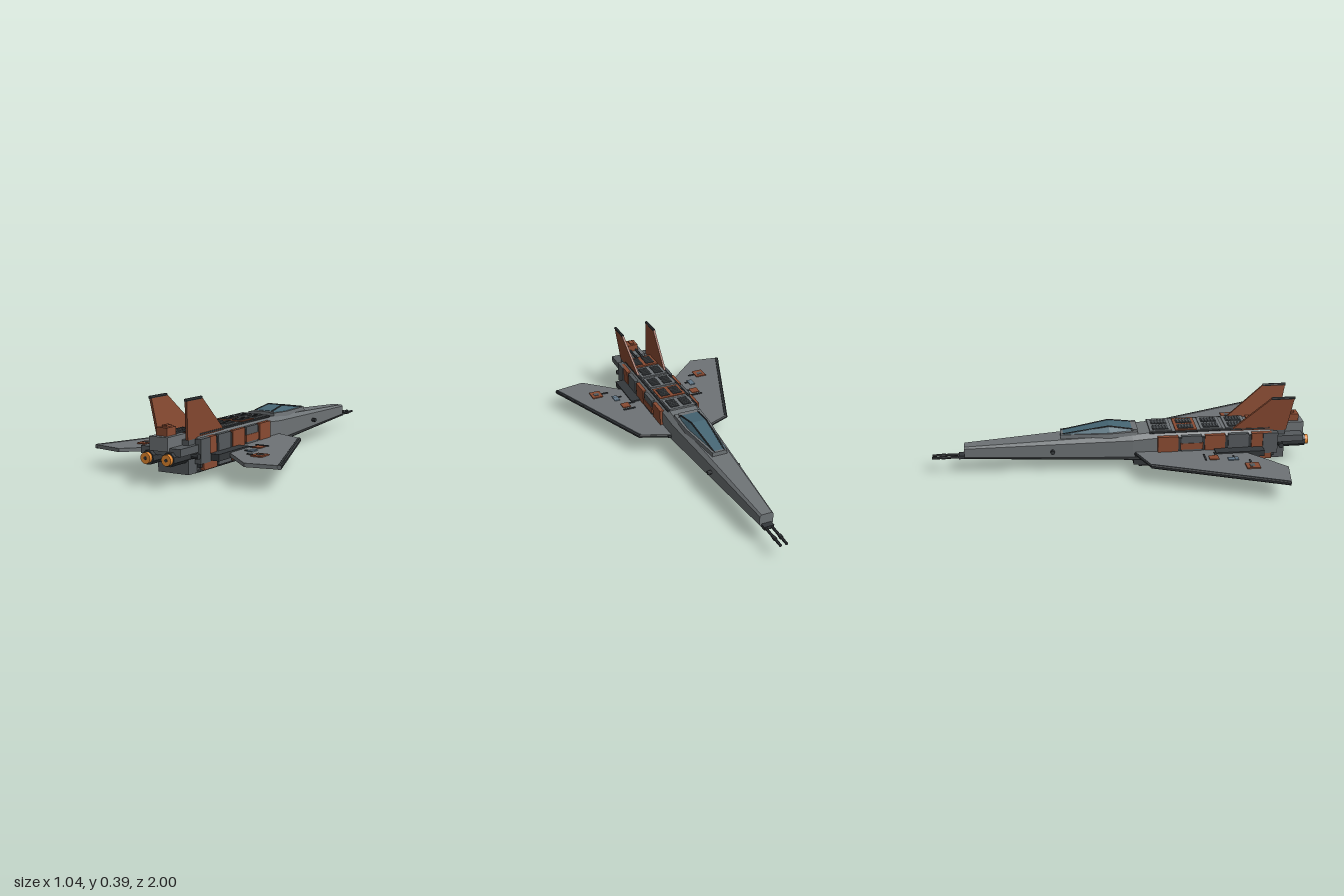
import * as THREE from 'three';

const mat = (color, side = THREE.FrontSide) => new THREE.MeshStandardMaterial({ color, flatShading: true, side });
const GREY = mat(0x6e7376), MID = mat(0x555a5d), DARK = mat(0x34383b), RUST = mat(0x8a4b32),
  GLASS = mat(0x466674), GLOW = mat(0xe88a30), BLUE = mat(0x62788a);

export function createModel() {
  const model = new THREE.Group();
  const add = (name, geo, m, parent = model) => {
    const mesh = new THREE.Mesh(geo, m);
    mesh.name = name;
    parent.add(mesh);
    return mesh;
  };
  // box given by its extents
  const box = (name, m, x0, x1, y0, y1, z0, z1) => add(name,
    new THREE.BoxGeometry(Math.abs(x1 - x0), y1 - y0, z1 - z0)
      .translate((x0 + x1) / 2, (y0 + y1) / 2, (z0 + z1) / 2), m);
  // rod between two points
  const rod = (name, m, a, b, r, sides = 8) => {
    const p = new THREE.Vector3(...a), q = new THREE.Vector3(...b);
    const mesh = add(name, new THREE.CylinderGeometry(r, r, p.distanceTo(q), sides), m);
    mesh.position.copy(p).add(q).multiplyScalar(0.5);
    mesh.quaternion.setFromUnitVectors(new THREE.Vector3(0, 1, 0), q.sub(p).normalize());
    return mesh;
  };
  // closed skin through rings of [x, y] points placed along z
  const loft = (rings) => {
    const pos = [], n = rings[0].p.length;
    const put = (r, j) => pos.push(r.p[j % n][0], r.p[j % n][1], r.z);
    for (let i = 0; i < rings.length - 1; i++) {
      const a = rings[i], b = rings[i + 1];
      for (let j = 0; j < n; j++) {
        put(a, j); put(a, j + 1); put(b, j);
        put(a, j + 1); put(b, j + 1); put(b, j);
      }
    }
    const first = rings[0], last = rings[rings.length - 1];
    for (let j = 1; j < n - 1; j++) {
      put(first, 0); put(first, j + 1); put(first, j);
      put(last, 0); put(last, j); put(last, j + 1);
    }
    const g = new THREE.BufferGeometry();
    g.setAttribute('position', new THREE.Float32BufferAttribute(pos, 3));
    g.computeVertexNormals();
    return g;
  };
  // flat plate from [x, z] outline, top at y
  const plate = (pts, y, d) => new THREE.ExtrudeGeometry(
    new THREE.Shape(pts.map(p => new THREE.Vector2(...p))), { depth: d, bevelEnabled: false })
    .rotateX(Math.PI / 2).translate(0, y, 0);

  // chamfered fuselage: z, half width, bottom, top
  const hull = [[-0.83, 0.036, 0.09, 0.155], [0.05, 0.1, 0.062, 0.205], [0.2, 0.102, 0.052, 0.217],
    [0.45, 0.105, 0.038, 0.217], [0.8, 0.105, 0.04, 0.212]];
  add('fuselage', loft(hull.map(([z, w, b, t]) => {
    const c = w * 0.24;
    return { z, p: [[w, b + c], [w, t - c], [w - c, t], [c - w, t], [-w, t - c], [-w, b + c], [c - w, b], [w - c, b]] };
  })), GREY);
  add('keel', loft(hull.map(([z, w, b]) => {
    const k = w * 0.72;
    return { z, p: [[k, b - 0.005], [k, b + 0.008], [-k, b + 0.008], [-k, b - 0.005]] };
  })), DARK);

  // canopy: rim, glazing and frame
  const canopy = [[-0.32, 0.04, 0.028, 0.205], [-0.07, 0.072, 0.042, 0.246], [0.05, 0.075, 0.05, 0.228]];
  add('canopyRim', loft([[-0.325, 0.043, 0.206], [-0.07, 0.079, 0.214], [0.08, 0.082, 0.222]].map(([z, w, t]) => (
    { z, p: [[w, t - 0.03], [w * 0.93, t], [-w * 0.93, t], [-w, t - 0.03]] }))), GREY);
  add('canopyGlass', loft(canopy.map(([z, w, u, t]) => (
    { z, p: [[w, 0.19], [w * 0.95, 0.205], [u, t], [-u, t], [-w * 0.95, 0.205], [-w, 0.19]] }))), GLASS);
  for (const s of [-1, 1]) {
    for (let i = 0; i < 2; i++) {
      const [za, , ua, ta] = canopy[i], [zb, , ub, tb] = canopy[i + 1];
      rod('canopyFrame', DARK, [s * ua, ta, za], [s * ub, tb, zb], 0.004, 6);
    }
    rod('canopyHoop', DARK, [s * 0.05, 0.228, 0.05], [s * 0.074, 0.205, 0.05], 0.004, 6);
  }
  box('canopyRear', GREY, -0.055, 0.055, 0.2, 0.226, 0.05, 0.08);

  // dorsal hatches, each with a pair of louvred vents
  [GREY, RUST, GREY, GREY, RUST].forEach((m, i) => {
    const z = 0.2 + i * 0.135;
    box('dorsalHatch', m, -0.075, 0.075, 0.205, 0.222, z - 0.058, z + 0.058);
    for (const s of [-1, 1]) {
      box('vent', DARK, s * 0.01, s * 0.062, 0.21, 0.225, z - 0.042, z + 0.042);
      for (let k = -2; k <= 2; k++)
        box('louvre', MID, s * 0.013, s * 0.059, 0.22, 0.228, z + k * 0.016 - 0.003, z + k * 0.016 + 0.003);
    }
  });

  for (const s of [-1, 1]) {
    // flank panels
    [RUST, MID, RUST, MID, RUST].forEach((m, i) => {
      const z = 0.18 + i * 0.125;
      box('sidePanel', m, s * 0.09, s * 0.116, 0.055, 0.2, z, z + 0.108);
      box('panelSeam', DARK, s * 0.09, s * 0.11, 0.065, 0.19, z + 0.108, z + 0.125);
    });
    box('flankInset', RUST, s * 0.1, s * 0.119, 0.125, 0.16, 0.3, 0.42);
    box('sideRail', DARK, s * 0.09, s * 0.12, 0.098, 0.113, 0.06, 0.8);
    rod('dorsalPipe', DARK, [s * 0.084, 0.215, 0.14], [s * 0.084, 0.215, 0.78], 0.006, 6);

    // wing with heavy leading edge
    const wing = [[0.09, 0.06], [0.26, 0.13], [0.52, 0.79], [0.35, 0.82], [0.17, 0.65], [0.09, 0.58]];
    add('wing', plate(wing.map(([x, z]) => [s * x, z]), 0.115, 0.018), GREY);
    rod('wingEdge', DARK, [s * 0.254, 0.106, 0.13], [s * 0.512, 0.106, 0.79], 0.012);
    rod('wingRootEdge', DARK, [s * 0.1, 0.106, 0.066], [s * 0.254, 0.106, 0.13], 0.009, 6);
    box('wingRootPod', DARK, s * 0.1, s * 0.168, 0.09, 0.122, 0.48, 0.74);

    // wing access plates
    box('wingPlate', RUST, s * 0.19, s * 0.235, 0.11, 0.12, 0.435, 0.485);
    box('wingPlate', BLUE, s * 0.22, s * 0.25, 0.11, 0.12, 0.53, 0.585);
    box('wingPlate', RUST, s * 0.295, s * 0.355, 0.11, 0.121, 0.605, 0.675);
    box('wingPlateInset', MID, s * 0.31, s * 0.34, 0.115, 0.123, 0.625, 0.65);
    for (const [x, z, w] of [[0.17, 0.415, 0.07], [0.15, 0.475, 0.04], [0.2, 0.565, 0.05], [0.255, 0.64, 0.04]])
      box('wingStrip', DARK, s * x, s * (x + w), 0.11, 0.12, z - 0.004, z + 0.004);

    // canted tail fin with tip cap
    const fin = new THREE.Group();
    fin.name = 'tailFin';
    fin.position.set(s * 0.08, 0.2, 0);
    fin.rotation.z = -s * 0.095;
    model.add(fin);
    const profile = [[0.56, 0], [0.78, 0.19], [0.9, 0.19], [0.87, 0]].map(p => new THREE.Vector2(...p));
    add('finBlade', new THREE.ExtrudeGeometry(new THREE.Shape(profile), { depth: 0.012, bevelEnabled: false })
      .rotateY(-Math.PI / 2).translate(0.006, 0, 0), RUST, fin);
    add('finCap', new THREE.CylinderGeometry(0.008, 0.008, 0.125, 8)
      .rotateX(Math.PI / 2).translate(0, 0.187, 0.84), DARK, fin);

    // engine nozzle
    const nozzle = new THREE.Group();
    nozzle.name = 'engine';
    nozzle.position.set(s * 0.057, 0.127, 0);
    model.add(nozzle);
    add('engineShroud', new THREE.CylinderGeometry(0.034, 0.034, 0.14, 8)
      .rotateZ(0).rotateX(Math.PI / 2).rotateZ(Math.PI / 8).translate(0, 0, 0.91), DARK, nozzle);
    add('engineGlow', new THREE.CylinderGeometry(0.026, 0.026, 0.02, 20)
      .rotateX(Math.PI / 2).translate(0, 0, 0.988), GLOW, nozzle);
    add('engineCore', new THREE.CylinderGeometry(0.008, 0.008, 0.02, 12)
      .rotateX(Math.PI / 2).translate(0, 0, 0.99), DARK, nozzle);

    // rear side blocks and thruster knobs
    box('rearSideBlock', MID, s * 0.09, s * 0.122, 0.085, 0.2, 0.74, 0.82);
    box('rearLowerBlock', RUST, s * 0.1, s * 0.119, 0.052, 0.09, 0.68, 0.79);
    rod('thrusterKnob', DARK, [s * 0.09, 0.125, 0.84], [s * 0.125, 0.125, 0.84], 0.014);

    // nose gun and sensor
    rod('gunBarrel', DARK, [s * 0.016, 0.093, -0.8], [s * 0.016, 0.093, -1], 0.007);
    rod('gunSleeve', DARK, [s * 0.016, 0.093, -0.93], [s * 0.016, 0.093, -0.95], 0.01);
    rod('noseSensor', DARK, [s * 0.06, 0.127, -0.37], [s * 0.09, 0.127, -0.37], 0.011);
    rod('bellyTube', DARK, [s * 0.033, 0.013, 0.09], [s * 0.033, 0.013, 0.26], 0.013);
    box('bellyPodRail', DARK, s * 0.036, s * 0.052, 0.018, 0.06, 0.06, 0.28);
  }

  // tail block
  box('tailBulkhead', MID, -0.085, 0.085, 0.04, 0.2, 0.78, 0.865);
  box('tailCrossbeam', MID, -0.108, 0.108, 0.14, 0.175, 0.8, 0.96);
  box('tailHousing', GREY, -0.05, 0.05, 0.16, 0.225, 0.82, 0.975);
  box('tailBeacon', RUST, -0.03, 0.03, 0.22, 0.263, 0.88, 0.95);
  box('tailBeaconCap', RUST, -0.012, 0.012, 0.26, 0.272, 0.89, 0.93);
  for (const x of [-0.018, 0.018]) rod('tailPipe', DARK, [x, 0.23, 0.77], [x, 0.23, 0.89], 0.007, 6);

  // belly pod and gun mount
  box('bellyPod', MID, -0.04, 0.04, 0.022, 0.06, 0.08, 0.26);
  for (const z of [0.06, 0.265]) box('bellyPodEnd', DARK, -0.05, 0.05, 0.018, 0.06, z, z + 0.015);
  box('gunMount', DARK, -0.026, 0.026, 0.085, 0.103, -0.86, -0.78);
  return model;
}
